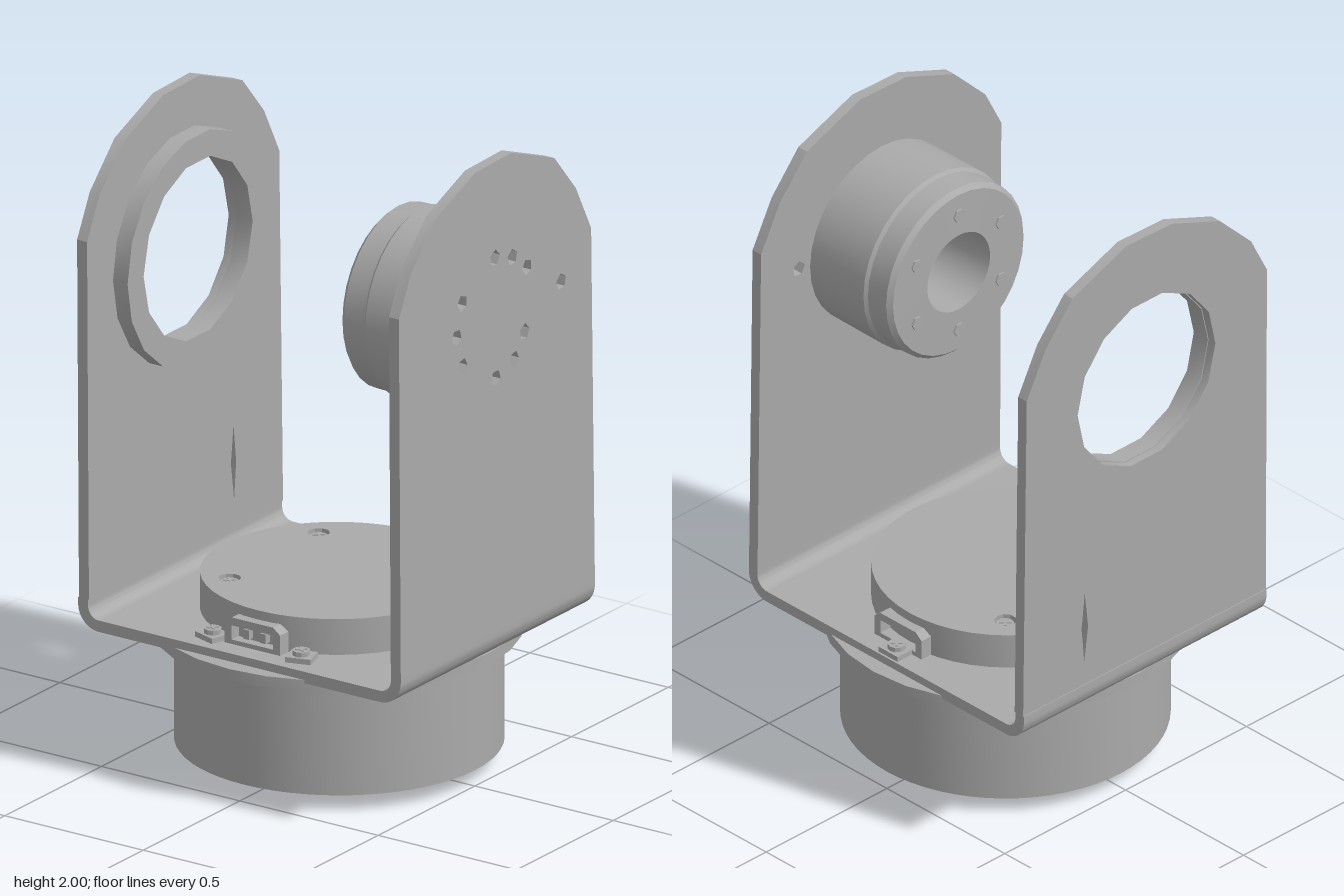
import * as THREE from 'three';
import { toCreasedNormals } from 'three/addons/utils/BufferGeometryUtils.js';

const metal = new THREE.MeshStandardMaterial({ color: 0xaaaaaa });
metal.name = 'grey metal';

export function createModel() {
  const model = new THREE.Group();
  model.name = 'gimbalBracket';

  const add = (name, geometry, x = 0, y = 0, z = 0, parent = model) => {
    const mesh = new THREE.Mesh(toCreasedNormals(geometry, 0.45), metal);
    mesh.name = name;
    mesh.position.set(x, y, z);
    parent.add(mesh);
    return mesh;
  };
  const V = (x, y) => new THREE.Vector2(x, y);
  const lathe = (points, segments) =>
    new THREE.LatheGeometry(points.map(([r, y]) => V(r, y)), segments);
  const ngon = (cx, cy, r, n, turn = 0) => Array.from({ length: n }, (_, i) => {
    const a = turn + (i / n) * Math.PI * 2;
    return V(cx + r * Math.cos(a), cy + r * Math.sin(a));
  });
  const hole = (cx, cy, r, n = 8, turn = 0) => new THREE.Path(ngon(cx, cy, r, n, turn));
  const extrude = (shape, depth) => new THREE.ExtrudeGeometry(
    shape, { depth, bevelEnabled: false, curveSegments: 8 });
  // Extrude upward; shape y becomes -z
  const extrudeUp = (shape, depth) => extrude(shape, depth).rotateX(-Math.PI / 2);
  // Extrude toward -x; shape x becomes z
  const extrudeSide = (shape, depth) => extrude(shape, depth).rotateY(-Math.PI / 2);

  // Round base housing with bolt holes in the underside
  const base = new THREE.Shape(ngon(0, 0, 0.49, 64));
  base.holes.push(hole(0, 0, 0.255, 32));
  for (let i = 0; i < 12; i++) {
    const a = (i + 0.5) * Math.PI / 6;
    base.holes.push(hole(0.445 * Math.cos(a), 0.445 * Math.sin(a), 0.012, 6));
  }
  add('baseHousing', extrudeUp(base, 0.35), 0.01, 0.05, 0);

  // Stepped hub and its bore
  add('baseHub', lathe([[0.17, 0.5], [0.17, 0.035], [0.235, 0.03], [0.235, 0.0],
    [0.265, 0.0], [0.27, 0.06]], 32), 0.01);

  // Thin flange between housing and bracket
  const flange = new THREE.Shape(ngon(0, 0, 0.555, 28, Math.PI / 2));
  flange.holes.push(hole(0, 0, 0.25, 28));
  add('flange', extrudeUp(flange, 0.035), 0, 0.4, 0);

  // Bent floor of the U bracket
  const t = 0.036, outer = 0.583, floorY = 0.425, topY = 0.52, R = 0.075;
  const channel = new THREE.Shape();
  channel.moveTo(-outer, topY);
  channel.lineTo(-outer, floorY + R);
  channel.absarc(-outer + R, floorY + R, R, Math.PI, Math.PI * 1.5, false);
  channel.lineTo(outer - R, floorY);
  channel.absarc(outer - R, floorY + R, R, -Math.PI / 2, 0, false);
  channel.lineTo(outer, topY);
  channel.lineTo(outer - t, topY);
  channel.lineTo(outer - t, floorY + R);
  channel.absarc(outer - R, floorY + R, R - t, 0, -Math.PI / 2, true);
  channel.lineTo(-outer + R, floorY + t);
  channel.absarc(-outer + R, floorY + R, R - t, -Math.PI / 2, -Math.PI, true);
  channel.lineTo(-outer + t, topY);
  add('bracketFloor', extrude(channel, 1.004), 0, 0, -0.502);

  // Upright arms with faceted round tops
  const armShape = () => {
    const s = new THREE.Shape();
    s.moveTo(-0.502, topY);
    s.lineTo(0.502, topY);
    [[0.497, 1.65], [0.43, 1.78], [0.3, 1.91], [0.1, 1.99], [-0.09, 1.995],
      [-0.31, 1.91], [-0.42, 1.78], [-0.497, 1.63]].forEach(([z, y]) => s.lineTo(z, y));
    s.closePath();
    return s;
  };
  const lean = geometry => {
    const p = geometry.attributes.position;
    for (let i = 0; i < p.count; i++) p.setX(i, p.getX(i) - 0.009 * (p.getY(i) - topY));
    return geometry;
  };

  const leftArm = armShape();
  [[0.17, 1.6], [0.2, 1.5], [0.17, 1.4], [0, 1.69], [-0.09, 1.665], [-0.165, 1.61],
    [0, 1.31], [-0.095, 1.34], [-0.15, 1.41], [-0.34, 1.51]].forEach(([z, y], i) =>
    leftArm.holes.push(hole(z, y, 0.026, 5, i)));
  add('motorArm', lean(extrudeSide(leftArm, t)), outer, 0, 0);

  const rightArm = armShape();
  rightArm.holes.push(hole(0, 1.485, 0.285, 14));
  rightArm.holes.push(new THREE.Path([V(-0.25, 0.6), V(-0.235, 0.72), V(-0.25, 0.84), V(-0.262, 0.72)]));
  add('bearingArm', lean(extrudeSide(rightArm, t)), -outer + t + 0.003, 0, 0);

  // Bearing ring on the inner face of the open arm
  const ring = new THREE.Shape(ngon(0, 0, 0.365, 18));
  ring.holes.push(hole(0, 0, 0.282, 14));
  add('bearingRing', extrudeSide(ring, 0.06), -0.5, 1.485, 0);

  // Side motor: two stepped drums and a deep central bore
  const motor = new THREE.Group();
  motor.name = 'sideMotor';
  motor.position.set(0, 1.497, 0);
  model.add(motor);
  add('motorDrum', lathe([[0, -0.545], [0.293, -0.54], [0.295, -0.31], [0.286, -0.3],
    [0.284, -0.225], [0.27, -0.21], [0.13, -0.208], [0.12, -0.4], [0, -0.4]], 32)
    .rotateZ(Math.PI / 2), 0, 0, 0, motor);
  for (let i = 0; i < 6; i++) {
    const a = i * Math.PI / 3;
    add('motorScrew', new THREE.CylinderGeometry(0.022, 0.022, 0.008, 6).rotateZ(Math.PI / 2),
      0.207, 0.2 * Math.cos(a), 0.2 * Math.sin(a), motor);
  }

  // Rotor disc with two screw pockets
  const disc = new THREE.Shape(ngon(0, 0, 0.405, 48));
  const pockets = [[-0.225, 0.23], [-0.225, -0.23]];
  pockets.forEach(([x, z]) => disc.holes.push(hole(x, z, 0.034, 10)));
  add('rotorDisc', extrudeUp(disc, 0.125), 0, 0.449, 0);

  // Cross-head screws
  const screw = (x, y, z) => {
    const g = new THREE.Group();
    g.name = 'screw';
    g.position.set(x, y, z);
    model.add(g);
    add('screwHead', new THREE.CylinderGeometry(0.027, 0.027, 0.03, 10), 0, 0, 0, g);
    for (const turn of [Math.PI / 4, -Math.PI / 4])
      add('screwCross', new THREE.BoxGeometry(0.036, 0.006, 0.008).rotateY(turn), 0, 0.016, 0, g);
  };
  pockets.forEach(([x, z]) => screw(x, 0.55, z));
  for (const [x, z, turn] of [[-0.15, 0.425, -0.3], [0.17, 0.425, 0.3], [0, -0.46, 0]]) {
    add('screwTab', new THREE.BoxGeometry(0.08, 0.02, 0.07).rotateY(turn), x, 0.468, z);
    screw(x, 0.478, z);
  }

  // Cable sockets at the front and back of the disc
  const socket = new THREE.Shape([V(-0.1, 0), V(0.1, 0), V(0.1, 0.075), V(0.075, 0.095),
    V(-0.075, 0.095), V(-0.1, 0.075)]);
  socket.holes.push(new THREE.Path([V(-0.075, 0.025), V(-0.075, 0.07), V(0.075, 0.07), V(0.075, 0.025)]));
  add('frontSocket', extrude(socket, 0.07), 0, 0.45, 0.365);
  add('backSocket', extrude(socket, 0.07), 0.02, 0.45, -0.435);
  for (const x of [-0.03, 0.03])
    add('socketPin', new THREE.BoxGeometry(0.02, 0.03, 0.03), x, 0.497, 0.41);

  return model;
}
